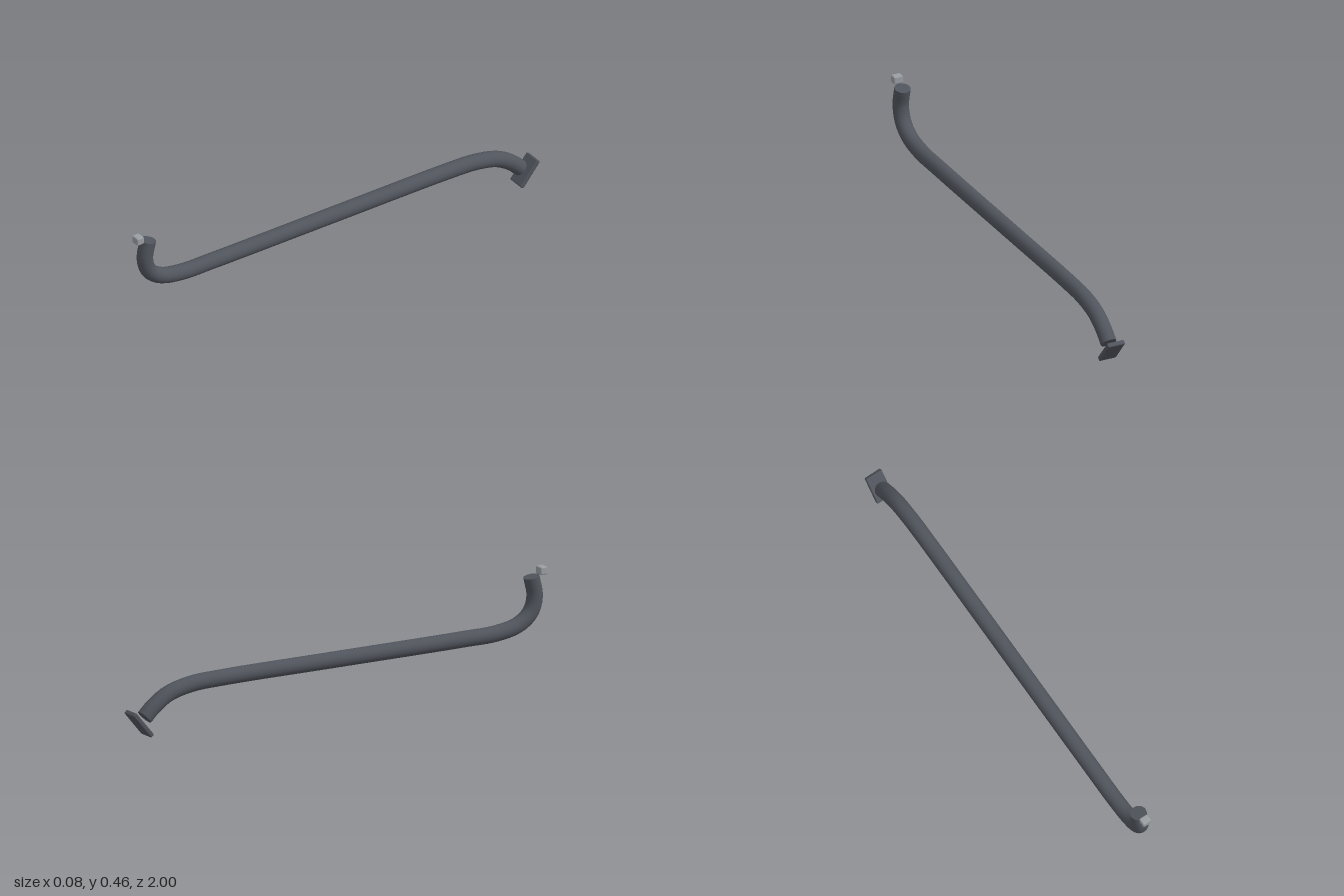
import * as THREE from 'three';
import { RoundedBoxGeometry } from 'three/addons/geometries/RoundedBoxGeometry.js';

const RADIUS = 0.034;
const SIDES = 20;

export function createModel() {
  const model = new THREE.Group();
  const dark = new THREE.MeshStandardMaterial({ color: 0x50545c });
  const pale = new THREE.MeshStandardMaterial({ color: 0x9a9fa3 });

  const add = (name, geometry, material, parent = model) => {
    const mesh = new THREE.Mesh(geometry, material);
    mesh.name = name;
    parent.add(mesh);
    return mesh;
  };

  // Centre line of the bar as [z, y], from the raised hook to the foot
  const path = new THREE.CatmullRomCurve3([
    [0.933, 0.423], [0.949, 0.34], [0.929, 0.274], [0.872, 0.229], [0.77, 0.206],
    [0.6, 0.202], [0, 0.2], [-0.55, 0.198], [-0.7, 0.191], [-0.81, 0.165],
    [-0.88, 0.122], [-0.925, 0.08],
  ].map(([z, y]) => new THREE.Vector3(0, y, z)));

  const bar = new THREE.Group();
  bar.name = 'bentBar';
  model.add(bar);
  add('barTube', new THREE.TubeGeometry(path, 96, RADIUS, SIDES), dark, bar);

  // Flat caps facing outwards along the path
  for (const [name, t, sign] of [['hookEndCap', 0, -1], ['footEndCap', 1, 1]]) {
    const cap = add(name, new THREE.CircleGeometry(RADIUS, SIDES), dark, bar);
    const outward = path.getTangent(t).multiplyScalar(sign);
    cap.position.copy(path.getPoint(t));
    cap.lookAt(cap.position.clone().add(outward));
  }

  // Tilted mounting plate behind the foot end
  const plate = add('mountingPlate', new RoundedBoxGeometry(0.078, 0.132, 0.02, 2, 0.005), dark);
  plate.position.set(0, 0.0565, -0.951);
  plate.rotation.x = -THREE.MathUtils.degToRad(40);

  // Small chamfered block in front of the hook end
  const block = add('tipBlock', new RoundedBoxGeometry(0.042, 0.034, 0.034, 1, 0.006), pale);
  block.position.set(0, 0.444, 0.983);

  return model;
}
